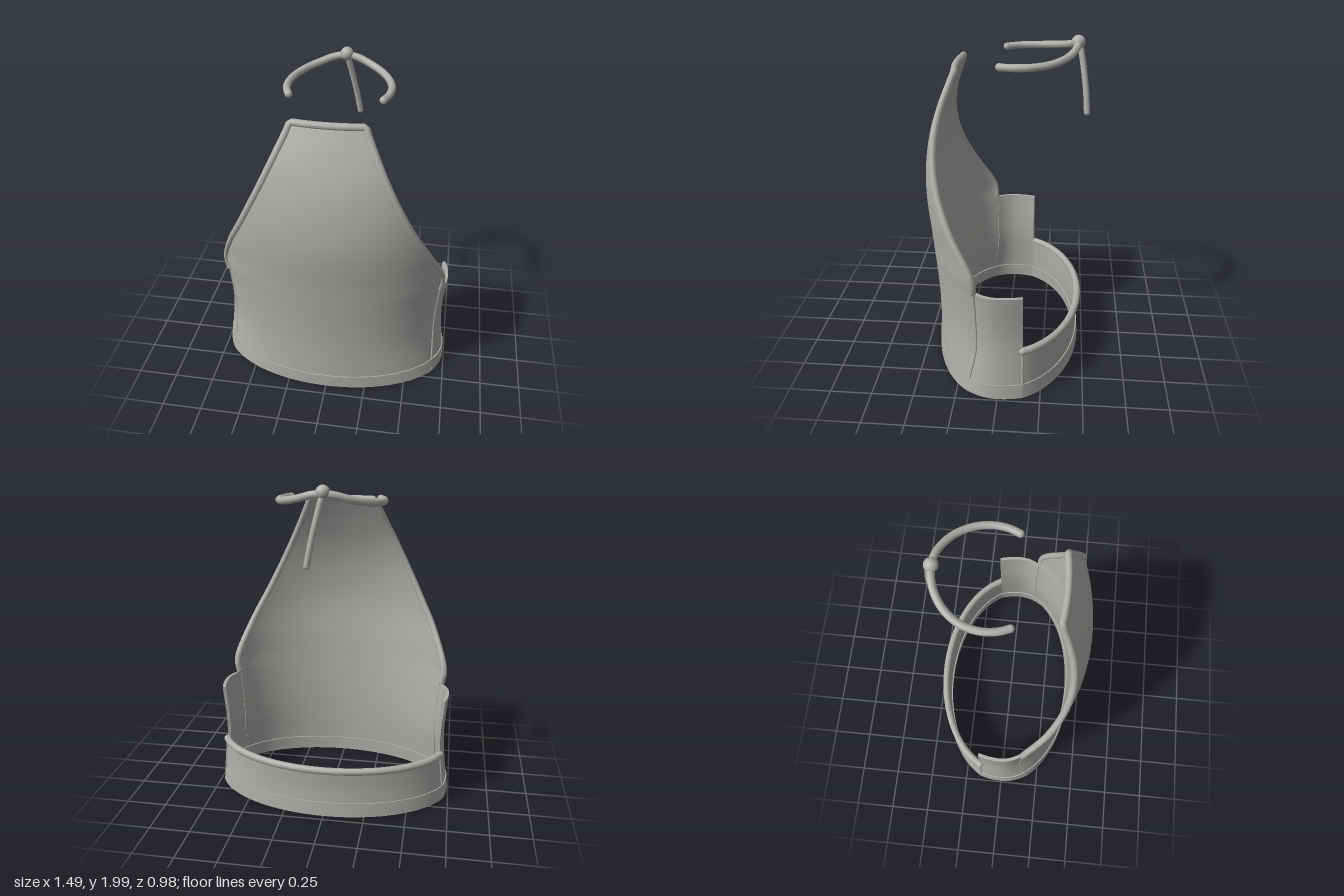
import * as THREE from 'three';
import { mergeGeometries } from 'three/addons/utils/BufferGeometryUtils.js';

// Smooth curve through [y, value] pairs
function profile(pts) {
  const slope = (i) => {
    const a = pts[Math.max(i - 1, 0)], b = pts[Math.min(i + 1, pts.length - 1)];
    return (b[1] - a[1]) / (b[0] - a[0]);
  };
  return (y) => {
    let i = 0;
    while (i < pts.length - 2 && y > pts[i + 1][0]) i++;
    const [x0, p0] = pts[i], [x1, p1] = pts[i + 1], h = x1 - x0;
    const t = THREE.MathUtils.clamp((y - x0) / h, 0, 1), t2 = t * t, t3 = t2 * t;
    return (2 * t3 - 3 * t2 + 1) * p0 + (t3 - 2 * t2 + t) * h * slope(i)
      + (3 * t2 - 2 * t3) * p1 + (t3 - t2) * h * slope(i + 1);
  };
}

// Front panel: half width, edge depth and centre depth by height
const frontW = profile([[0, 0.675], [0.1, 0.67], [0.4, 0.66], [0.65, 0.675], [0.78, 0.69], [1, 0.615],
  [1.2, 0.515], [1.5, 0.365], [1.84, 0.2]]);
const frontEdge = profile([[0, 0.19], [0.1, 0.17], [0.3, 0.13], [0.5, 0.13], [0.65, 0.135], [0.78, 0.145],
  [1, 0.27], [1.2, 0.355], [1.4, 0.39], [1.6, 0.37], [1.84, 0.285]]);
const frontMid = profile([[0, 0.43], [0.4, 0.432], [0.8, 0.462], [1.1, 0.49], [1.3, 0.48], [1.5, 0.44],
  [1.7, 0.365], [1.84, 0.3]]);
// Side and back panels
const sideX = profile([[0, 0.738], [0.1, 0.73], [0.4, 0.706], [0.68, 0.724]]);
const backX = (y) => sideX(y) - 0.022;
const backMid = profile([[0, 0.463], [0.18, 0.452], [0.34, 0.46]]);
const BACK_Z = -0.145;

// Elliptic arc from edge to edge, u in -1..1
function arc(u, w, edge, mid) {
  const end = Math.acos(edge / mid), t = u * end;
  return [w * Math.sin(t) / Math.sin(end), mid * Math.cos(t)];
}
function front(u, y) {
  const [x, z] = arc(u, frontW(y), frontEdge(y), frontMid(y));
  return new THREE.Vector3(x, y, z);
}
function back(u, y) {
  const [x, z] = arc(u, backX(y), -BACK_Z, backMid(y));
  return new THREE.Vector3(-x, y, -z);
}
const side = (s) => (u, y) => {
  const ze = frontEdge(y), a = sideX(y);
  const z = THREE.MathUtils.lerp(ze, BACK_Z, (s * u + 1) / 2);
  const k = z > 0 ? (a - frontW(y)) / ze ** 2 : (a - backX(y)) / BACK_Z ** 2;
  return new THREE.Vector3(s * (a - k * z * z), y, z);
};

// Indexed grid geometry from rows of points
function grid(rows, flip) {
  const n = rows[0].length, index = [];
  for (let j = 0; j < rows.length - 1; j++) for (let i = 0; i < n - 1; i++) {
    const a = j * n + i, b = a + 1, c = a + n, d = c + 1;
    if (flip) index.push(a, c, b, b, c, d);
    else index.push(a, b, c, b, d, c);
  }
  const g = new THREE.BufferGeometry().setFromPoints(rows.flat());
  g.setIndex(index);
  g.computeVertexNormals();
  return g;
}

// Cloth with thickness: outer face, inner face and four rims
function cloth(fn, y0, y1, nu, nv, outset = 0, thick = 0.02) {
  const outer = [], inner = [], e = 0.005;
  for (let j = 0; j <= nv; j++) {
    const ro = [], ri = [];
    for (let i = 0; i <= nu; i++) {
      const u = -1 + 2 * i / nu, y = y0 + (y1 - y0) * j / nv;
      const du = fn(u + e, y).sub(fn(u - e, y)), dv = fn(u, y + e).sub(fn(u, y - e));
      const normal = du.cross(dv).normalize(), p = fn(u, y);
      ro.push(p.clone().addScaledVector(normal, outset));
      ri.push(p.clone().addScaledVector(normal, outset - thick));
    }
    outer.push(ro);
    inner.push(ri);
  }
  const col = (rows, i) => rows.map((r) => r[i]);
  return mergeGeometries([
    grid(outer), grid(inner, true),
    grid([inner[0], outer[0]]), grid([outer[nv], inner[nv]]),
    grid([col(outer, 0), col(inner, 0)]), grid([col(inner, nu), col(outer, nu)]),
  ]);
}

export function createModel() {
  const model = new THREE.Group();
  const fabric = new THREE.MeshStandardMaterial({ color: 0xb0aeaa });
  fabric.name = 'grey fabric';

  const add = (name, geometry, position) => {
    const mesh = new THREE.Mesh(geometry, fabric);
    mesh.name = name;
    if (position) mesh.position.copy(position);
    model.add(mesh);
  };
  // Round cord with domed ends
  const cord = (name, pts, r, segments = 64) => {
    const path = new THREE.CatmullRomCurve3(pts, false, 'centripetal');
    add(name, new THREE.TubeGeometry(path, segments, r, 10));
    for (const p of [pts[0], pts[pts.length - 1]]) add(name + 'End', new THREE.SphereGeometry(r * 1.03, 12, 8), p);
  };
  const sample = (n, fn) => Array.from({ length: n + 1 }, (_, i) => fn(i / n));
  const lerp = THREE.MathUtils.lerp;

  // Panels
  add('frontPanel', cloth(front, 0.015, 1.835, 48, 64));
  add('leftSidePanel', cloth(side(1), 0.015, 0.68, 16, 20));
  add('rightSidePanel', cloth(side(-1), 0.015, 0.68, 16, 20));
  add('backBand', cloth(back, 0.015, 0.325, 48, 10));

  // Hem, slightly proud of the panels
  [['frontHem', front], ['leftHem', side(1)], ['rightHem', side(-1)], ['backHem', back]].forEach(([name, fn]) => {
    add(name, cloth(fn, 0.01, 0.1, 32, 4, 0.007, 0.034));
  });

  // Binding up both slanted edges and across the neckline
  const inset = (p) => p.add(new THREE.Vector3(0, 0, -0.008));
  const edge = (s) => sample(24, (t) => inset(front(s * 0.975, lerp(0.69, 1.825, t))));
  const neck = sample(8, (t) => inset(front(lerp(-0.9, 0.9, t), 1.828)));
  cord('frontBinding', [...edge(-1), ...neck, ...edge(1).reverse()], 0.021, 200);

  // Binding along the back band
  cord('backBinding', sample(24, (t) => back(lerp(-1, 1, t), 0.318)), 0.022, 80);

  // Raised seams between the panels
  for (const s of [1, -1]) {
    cord('frontSeam', sample(10, (t) => front(s, lerp(0.1, 0.7, t))), 0.007, 30);
    cord('backSeam', sample(6, (t) => back(s, lerp(0.1, 0.3, t))), 0.007, 20);
  }

  // Neck cord: open ring that rises to a knot at the back
  const rise = profile([[-0.41, 1.955], [-0.37, 1.92], [-0.3, 1.897], [-0.2, 1.882], [0.04, 1.87]]);
  cord('neckCord', sample(32, (t) => {
    const a = lerp(-2.04, 2.04, t), z = -0.11 - 0.295 * Math.cos(a);
    return new THREE.Vector3(0.3 * Math.sin(a), rise(z), z);
  }), 0.022, 96);
  add('neckKnot', new THREE.SphereGeometry(0.04, 24, 16), new THREE.Vector3(0, 1.96, -0.405));

  // Loose tie hanging from the knot
  cord('hangingTie', [
    new THREE.Vector3(0, 1.95, -0.415), new THREE.Vector3(0.028, 1.83, -0.438),
    new THREE.Vector3(0.058, 1.69, -0.458), new THREE.Vector3(0.08, 1.57, -0.468),
  ], 0.018, 32);

  return model;
}
